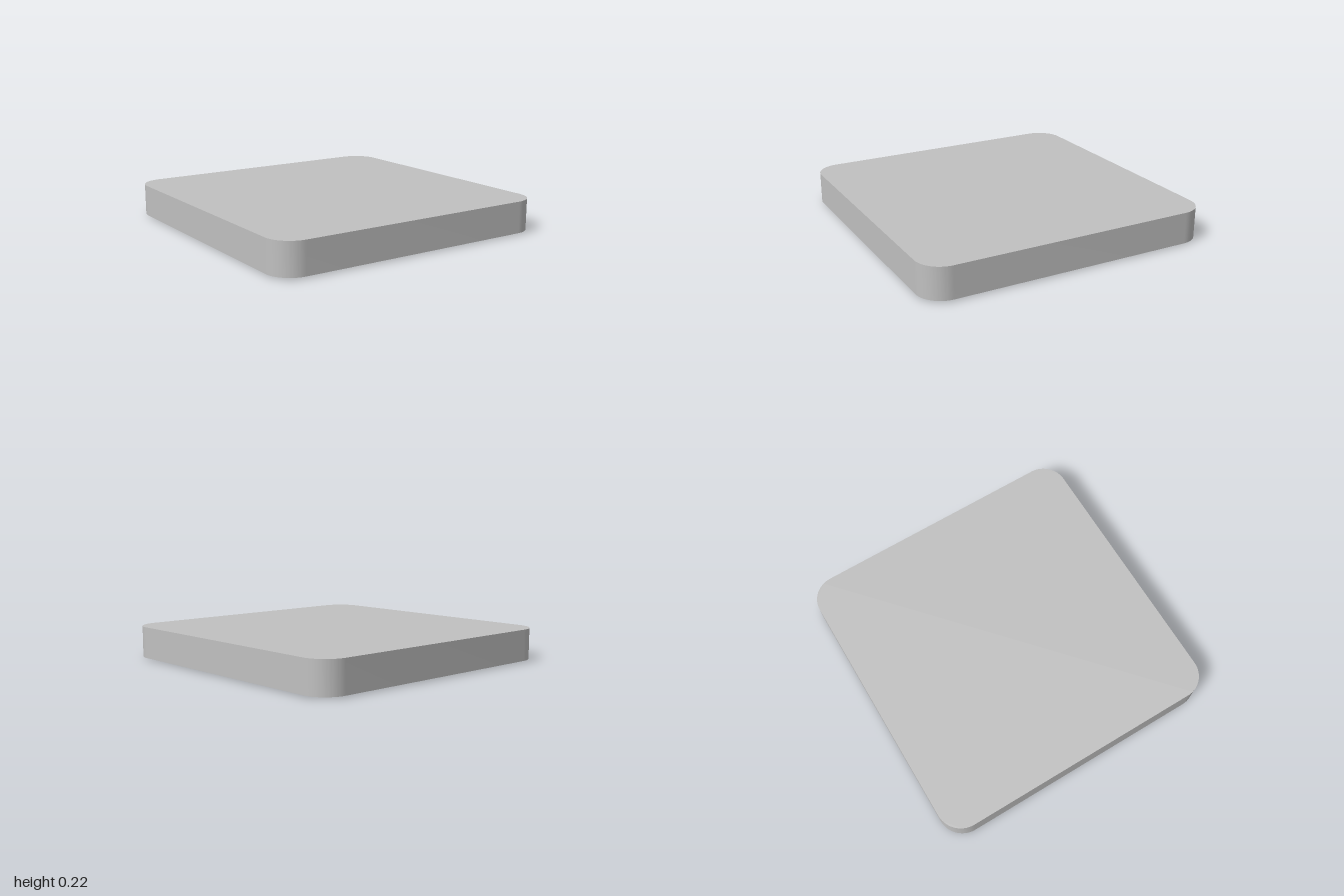
import * as THREE from 'three';
import { toCreasedNormals } from 'three/addons/utils/BufferGeometryUtils.js';

const RADIUS = 0.17, WALL = 0.13;           // outer corner radius, rim width
const BASE = 0.01, CEILING = 0.16, TOP = 0.225;

// Rounded square centred on the origin, drawn counter-clockwise
function roundedSquare(half, r, Type = THREE.Shape) {
  const s = new Type(), c = half - r;
  s.moveTo(half, -c);
  s.absarc(c, c, r, 0, Math.PI / 2);
  s.absarc(-c, c, r, Math.PI / 2, Math.PI);
  s.absarc(-c, -c, r, Math.PI, Math.PI * 1.5);
  s.absarc(c, -c, r, Math.PI * 1.5, Math.PI * 2);
  s.closePath();
  return s;
}

// Smooth round corners, sharp rims
const creased = (geometry) => toCreasedNormals(geometry, 0.5);

// Upright wall from y0 to y1 following the outline; inward flips its faces
function wall(half, r, y0, y1, inward) {
  const pts = roundedSquare(half, r).getPoints(16);
  const pos = [], index = [];
  pts.forEach((p) => pos.push(p.x, y0, -p.y, p.x, y1, -p.y));
  for (let i = 0; i < pts.length; i++) {
    const a = 2 * i, b = 2 * ((i + 1) % pts.length);
    if (inward) index.push(a, a + 1, b, b, a + 1, b + 1);
    else index.push(a, b, a + 1, b, b + 1, a + 1);
  }
  const g = new THREE.BufferGeometry();
  g.setAttribute('position', new THREE.Float32BufferAttribute(pos, 3));
  g.setIndex(index);
  return creased(g);
}

// Flat horizontal face at height y, facing up or down
function sheet(shape, y, up) {
  const g = new THREE.ShapeGeometry(shape, 16);
  g.rotateX(up ? -Math.PI / 2 : Math.PI / 2);
  return g.translate(0, y, 0);
}

export function createModel() {
  const model = new THREE.Group();
  model.name = 'squareCover';
  const grey = new THREE.MeshStandardMaterial({ color: 0xc0c0c0 });
  grey.name = 'lightGrey';

  const add = (name, geometry, parent = model) => {
    const mesh = new THREE.Mesh(geometry, grey);
    mesh.name = name;
    parent.add(mesh);
    return mesh;
  };

  // Hollow lid, open underneath
  const lid = new THREE.Group();
  lid.name = 'lid';
  model.add(lid);
  const innerHalf = 1 - WALL, innerRadius = RADIUS - WALL;
  const rim = roundedSquare(1, RADIUS);
  rim.holes.push(roundedSquare(innerHalf, innerRadius, THREE.Path));
  add('topFace', sheet(roundedSquare(1, RADIUS), TOP, true), lid);
  add('outerWall', wall(1, RADIUS, BASE, TOP, false), lid);
  add('bottomRim', sheet(rim, BASE, false), lid);
  add('innerWall', wall(innerHalf, innerRadius, BASE, CEILING, true), lid);
  add('ceiling', sheet(roundedSquare(innerHalf, innerRadius), CEILING, false), lid);

  // Four square feet hanging from the ceiling
  const footGeometry = new THREE.BoxGeometry(0.08, CEILING, 0.08);
  for (const x of [-1, 1]) {
    for (const z of [-1, 1]) {
      const name = (z > 0 ? 'front' : 'back') + (x > 0 ? 'Left' : 'Right') + 'Foot';
      add(name, footGeometry).position.set(x * 0.74, CEILING / 2, z * 0.74);
    }
  }
  return model;
}
